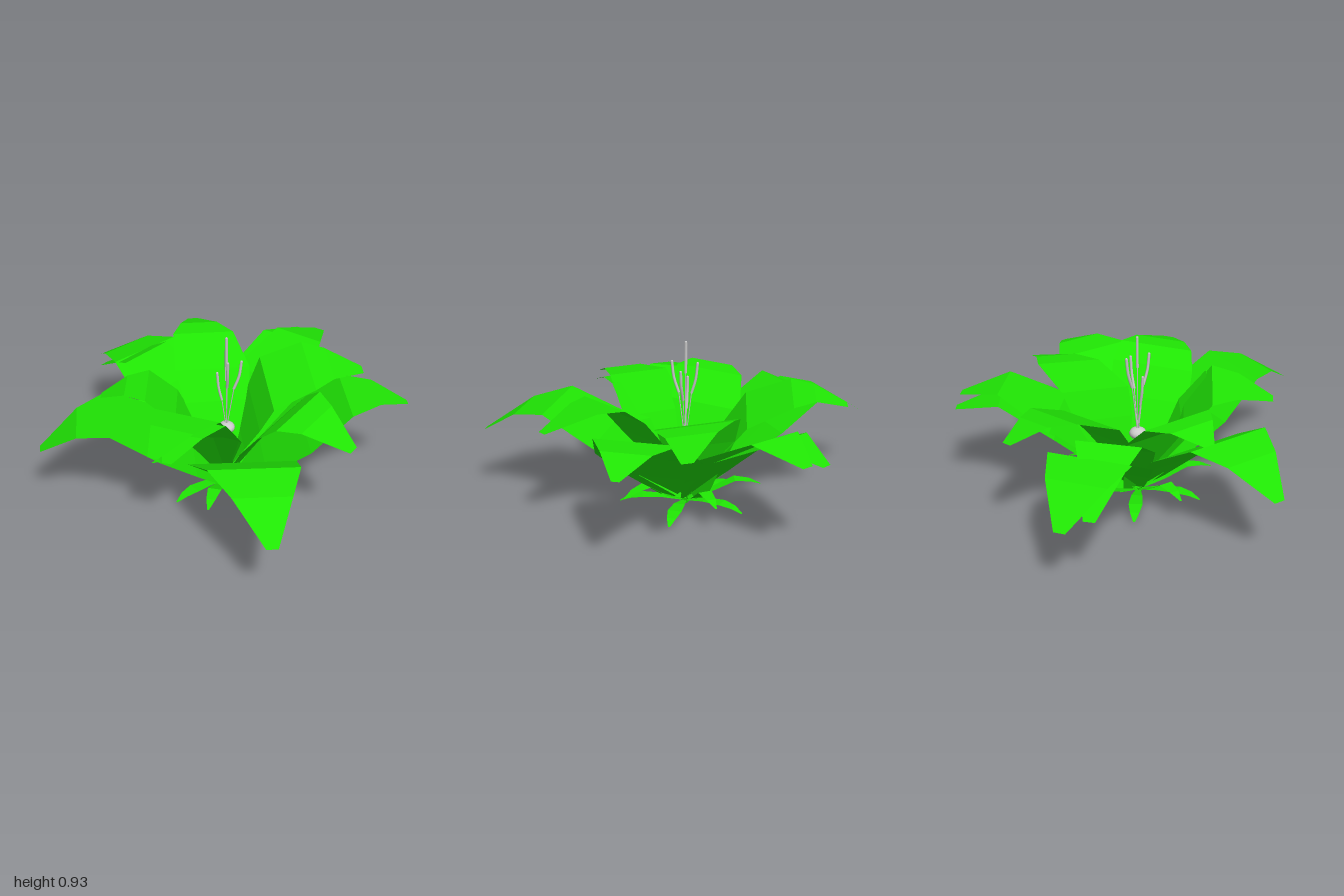
import * as THREE from 'three';

const CX = 0.02, CZ = -0.11; // centre of the flower

const green = new THREE.MeshStandardMaterial({ color: 0x20e604, flatShading: true, side: THREE.DoubleSide });
const grey = new THREE.MeshStandardMaterial({ color: 0xcccccc });

// Cross-section rows: [share of the reach, height, half width]
const WIDE = [[0, 0.03, 0.03], [0.18, 0.23, 0.18], [0.38, 0.42, 0.285], [0.63, 0.575, 0.235], [0.8, 0.535, 0.15], [1, 0.39, 0.03]];
const SLIM = [[0, 0.03, 0.03], [0.2, 0.23, 0.14], [0.42, 0.43, 0.245], [0.64, 0.575, 0.22], [0.8, 0.535, 0.16], [1, 0.39, 0.03]];
const RAISED = [[0, 0.03, 0.03], [0.2, 0.23, 0.19], [0.42, 0.43, 0.285], [0.65, 0.61, 0.22], [0.82, 0.62, 0.13], [1, 0.55, 0.02]];
const BACK = [[0, 0.03, 0.03], [0.2, 0.23, 0.16], [0.45, 0.47, 0.25], [0.75, 0.63, 0.15], [1, 0.56, 0.03]];
const INNER = [[0, 0.03, 0.03], [0.12, 0.24, 0.11], [0.21, 0.42, 0.19], [0.3, 0.57, 0.22], [0.6, 0.655, 0.2], [0.75, 0.655, 0.13], [1, 0.59, 0.03]];
const INNER_LONG = [[0, 0.03, 0.03], [0.16, 0.25, 0.11], [0.32, 0.45, 0.22], [0.46, 0.6, 0.225], [0.58, 0.68, 0.2], [0.72, 0.675, 0.14], [1, 0.59, 0.03]];
const INNER_SHORT = [[0, 0.03, 0.03], [0.17, 0.25, 0.11], [0.34, 0.47, 0.225], [0.55, 0.665, 0.2], [0.75, 0.66, 0.13], [1, 0.59, 0.03]];
const INNER_SIDE = [[0, 0.03, 0.03], [0.2, 0.26, 0.11], [0.4, 0.49, 0.2], [0.63, 0.64, 0.19], [0.8, 0.65, 0.12], [1, 0.6, 0.03]];
const CURLED = [[0, 0.03, 0.03], [0.18, 0.24, 0.11], [0.42, 0.49, 0.19], [0.62, 0.62, 0.17], [0.72, 0.57, 0.13], [1, 0.4, 0.03]];
const HIGH_BACK = [[0, 0.03, 0.03], [0.13, 0.23, 0.11], [0.25, 0.41, 0.19], [0.38, 0.56, 0.22], [0.66, 0.665, 0.18], [0.8, 0.67, 0.11], [1, 0.61, 0.03]];

// A folded strip from the base to a tip; face turns the folds, baseZ shifts its foot, tilt leans it sideways
function leaf(name, tipX, tipZ, rows, { face, baseZ = CZ, tilt = 0 } = {}) {
  const dx = tipX - CX, dz = tipZ - baseZ;
  const a = face ?? Math.atan2(dz, dx);
  const sx = -Math.sin(a), sz = Math.cos(a);
  const pos = [], index = [];
  rows.forEach(([t, y, w], i) => {
    for (const s of [-w, w]) pos.push(CX + dx * t + s * sx, y - s * tilt, baseZ + dz * t + s * sz);
    if (i) {
      const k = 2 * i;
      index.push(k - 2, k - 1, k, k - 1, k + 1, k);
    }
  });
  const g = new THREE.BufferGeometry();
  g.setAttribute('position', new THREE.Float32BufferAttribute(pos, 3));
  g.setIndex(index);
  g.computeVertexNormals();
  const mesh = new THREE.Mesh(g, green);
  mesh.name = name;
  return mesh;
}

const smaller = (rows) => rows.map(([t, y, w]) => [t, y * 0.95, w * 0.9]);

export function createModel() {
  const model = new THREE.Group();
  model.name = 'flower';

  // Outer petals
  const outer = new THREE.Group();
  outer.name = 'outerPetals';
  outer.add(
    leaf('frontPetal', 0.13, 0.995, WIDE, { face: Math.PI / 2 + 0.04 }),
    leaf('rightPetal', -1, 0.035, WIDE, { face: Math.PI, baseZ: -0.04 }),
    leaf('leftPetal', 1, 0.01, RAISED, { face: 0, baseZ: -0.02 }),
    leaf('backRightPetal', -0.64, -0.985, SLIM),
    leaf('backLeftPetal', 0.66, -0.84, BACK),
    leaf('backLeftLowerPetal', 0.56, -0.92, smaller(BACK))
  );
  model.add(outer);

  // Inner petals, standing steeper, leaning sideways and curling outward
  const inner = new THREE.Group();
  inner.name = 'innerPetals';
  inner.add(
    leaf('innerLeftPetal', 0.81, -0.29, INNER, { face: -0.06, baseZ: -0.2, tilt: 0.2 }),
    leaf('innerFrontLeftPetal', 0.605, 0.5, INNER_LONG, { face: 0.75, tilt: 0.1 }),
    leaf('innerFrontRightPetal', -0.41, 0.47, INNER_SHORT, { tilt: 0.12 }),
    leaf('innerFrontRightLowerPetal', -0.34, 0.48, smaller(INNER_SHORT), { tilt: 0.12 }),
    leaf('innerRightPetal', -0.66, -0.14, INNER_SIDE, { face: Math.PI + 0.1, baseZ: -0.18, tilt: 0.08 }),
    leaf('innerBackRightPetal', -0.65, -0.83, CURLED),
    leaf('innerBackPetal', -0.1, -0.96, HIGH_BACK, { face: -1.75, tilt: 0.1 })
  );
  model.add(inner);

  // Small drooping sepals around the base, alternately raised and low
  const sepals = new THREE.Group();
  sepals.name = 'sepals';
  for (let i = 0; i < 10; i++) {
    const a = i * Math.PI / 5 + 0.65;
    const high = i % 2 === 0;
    const reach = high ? 0.42 : 0.36;
    const peak = high ? (i % 4 ? 0.14 : 0.185) : 0.06;
    const rows = [[0, 0.02, 0.01], [0.35, 0.03 + peak * 0.35, 0.03], [0.65, peak, 0.038], [0.85, peak - 0.01, 0.025], [1, peak - 0.035, 0.005]];
    sepals.add(leaf('sepal', CX + reach * Math.cos(a), CZ + reach * Math.sin(a), rows));
  }
  model.add(sepals);

  // Stem stub
  const stub = new THREE.Mesh(new THREE.CylinderGeometry(0.03, 0.02, 0.035, 6), green);
  stub.name = 'stemStub';
  stub.position.set(CX, 0.0225, CZ);
  model.add(stub);

  // Grey heart of the flower
  const heart = new THREE.Mesh(new THREE.SphereGeometry(0.048, 12, 8), grey);
  heart.name = 'heart';
  heart.scale.y = 0.7;
  heart.position.set(CX, 0.37, CZ);
  model.add(heart);

  // Stamens: thin filament with a thicker anther on top
  for (const [dx, top, dz] of [[0, 0.93, 0], [0.08, 0.79, 0.01], [0, 0.82, 0.075], [0.005, 0.82, -0.065], [-0.05, 0.72, 0]]) {
    const stamen = new THREE.Group();
    stamen.name = 'stamen';
    const at = (k, y) => new THREE.Vector3(CX + dx * k, y, CZ + dz * k);
    const low = top - 0.17;
    const filament = new THREE.CatmullRomCurve3([at(0, 0.36), at(0.25, (low + 0.36) / 2), at(0.5, low)]);
    const anther = new THREE.CatmullRomCurve3([at(0.5, low), at(0.85, top - 0.09), at(1, top)]);
    const f = new THREE.Mesh(new THREE.TubeGeometry(filament, 6, 0.003, 5), grey);
    f.name = 'filament';
    const b = new THREE.Mesh(new THREE.TubeGeometry(anther, 6, 0.008, 6), grey);
    b.name = 'anther';
    const cap = new THREE.Mesh(new THREE.SphereGeometry(0.008, 6, 4), grey);
    cap.name = 'antherTip';
    cap.position.copy(at(1, top));
    stamen.add(f, b, cap);
    model.add(stamen);
  }
  return model;
}
